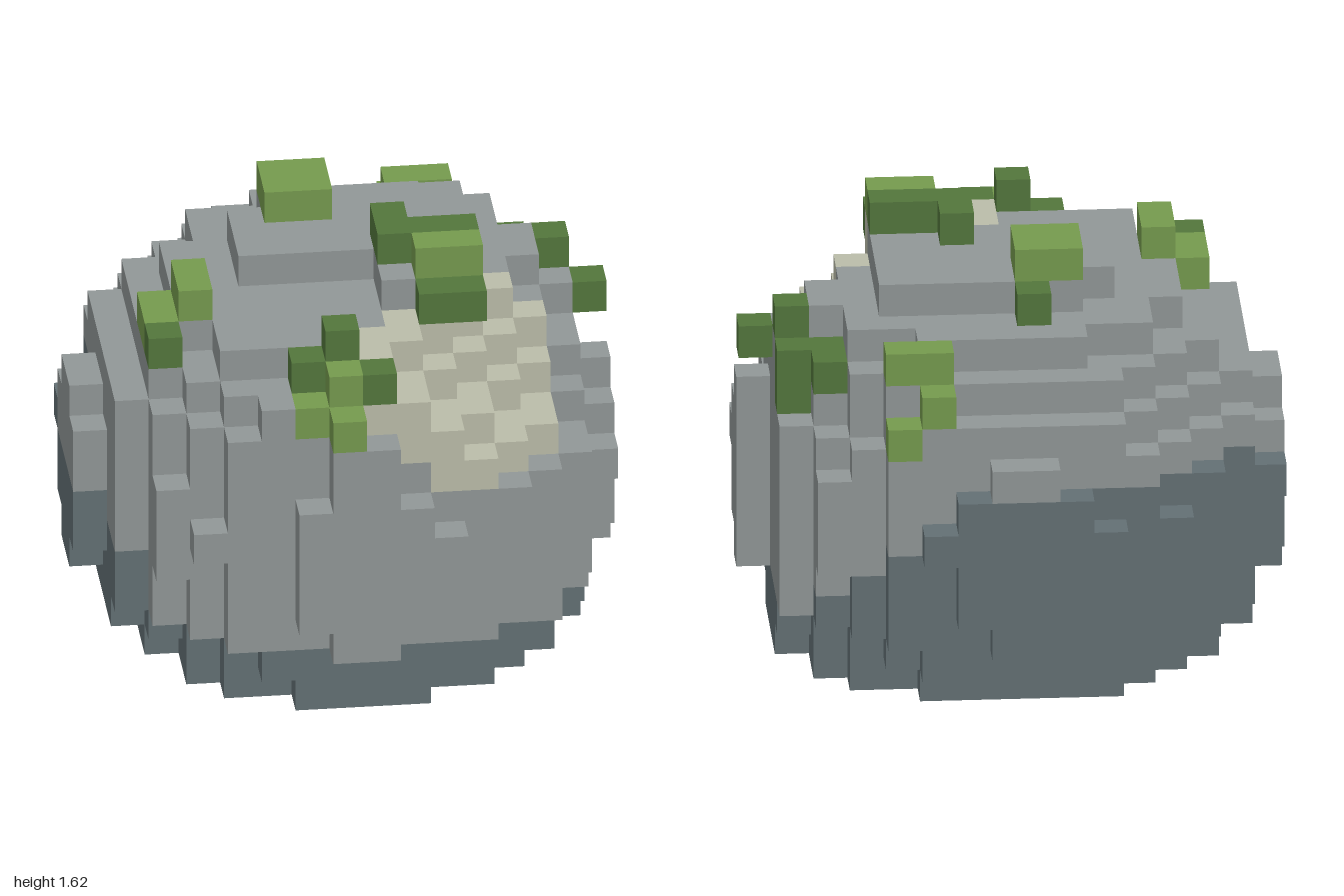
import * as THREE from 'three';
import { mergeGeometries } from 'three/addons/utils/BufferGeometryUtils.js';

const S = 0.125; // edge of one cube
const N = 16;    // cubes across

const colours = {
  rock: 0x919797,
  darkRock: 0x637074,
  paleRock: 0xbbbda9,
  lightMoss: 0x759a4e,
  darkMoss: 0x53763c,
};

// Widest outline: first and last cube column for each row, back to front
const outline = [
  [5, 11], [3, 12], [2, 14], [2, 14], [1, 15], [0, 15], [0, 15], [0, 15],
  [0, 16], [0, 16], [1, 16], [1, 15], [2, 15], [2, 14], [3, 13], [6, 11],
];

// Round layers from the ground up: centre x, centre z, radius
const layers = [
  [0.03, 0.03, 0.815], [0, 0, 0.875], [0, 0, 0.945], [0, 0, 0.965],
  [0, 0, 0.975], [0, 0, 0.99], [0, 0, 0.975], [0, 0, 0.945],
  [0, 0.04, 0.91], [0.06, 0.06, 0.86], [0.06, 0.06, 0.72],
];

// Raised slabs on the summit: x, z, width, depth in cubes
const summit = [[5, 6, 5, 3], [6, 5, 6, 1], [9, 6, 3, 5]];

// Moss clumps: x, y, z, width, height, depth in cubes
const moss = {
  lightMoss: [
    [6, 12, 5, 2, 1, 2], [10, 12, 10, 2, 1, 1],
    [10, 10, 2, 2, 1, 1], [10, 9, 1, 1, 1, 1], [11, 8, 1, 1, 1, 1],
    [3, 11, 9, 1, 1, 2], [2, 10, 9, 1, 1, 2],
    [7, 10, 14, 1, 1, 1], [6, 9, 14, 1, 1, 1], [7, 9, 15, 1, 1, 1],
  ],
  darkMoss: [
    [9, 12, 8, 1, 1, 2], [10, 12, 9, 2, 1, 1], [10, 11, 11, 2, 1, 1],
    [7, 11, 4, 1, 1, 1], [2, 10, 11, 1, 1, 1],
    [7, 11, 13, 1, 1, 1], [6, 10, 13, 1, 1, 1], [8, 10, 14, 1, 1, 1],
    [13, 9, 4, 1, 1, 2], [14, 8, 5, 1, 2, 1], [14, 10, 6, 1, 1, 1], [15, 9, 7, 1, 1, 1],
  ],
};

const key = (i, j, k) => `${i},${j},${k}`;

// The front-left shoulder is worn away into a flight of small steps
const wornAway = (x, y, z) =>
  y > 0.875 && 1.25 * x + z > 1.435 - 1.44 * (y - 0.9375);

// Below the shoulder the same corner bulges out a little
const bulge = (x, y, z) => (x > 0.5 && z > 0.5 && y > 0.25 && y < 0.875 ? 0.04 : 0);

// Stone colour by position: pale shoulder, dark base rising to the back and right
function stoneColour(x, y, z) {
  const edgeX = y < 1 ? 0.25 : y < 1.125 ? 0.125 : 0;
  const edgeZ = y < 1 ? 0.375 : y < 1.125 || y > 1.375 ? 0.25 : 0.125;
  const onShoulder = x > edgeX && x < 0.75 && z > edgeZ && z < 0.875;
  if (y > 0.875 && onShoulder && x + z > 0.6) return 'paleRock';
  const backRise = Math.min(0.875, 0.07 - 0.45 * x - z);
  const sideRise = -1.2 * x - 0.53;
  return y < Math.max(0.25, backRise, sideRise) ? 'darkRock' : 'rock';
}

function buildCubes() {
  const cubes = new Map();
  const centre = (i) => (i + 0.5) * S - 1;
  const addStone = (i, j, k) =>
    cubes.set(key(i, j, k), { i, j, k, c: stoneColour(centre(i), (j + 0.5) * S, centre(k)) });

  // Boulder body
  layers.forEach(([cx, cz, r], j) => {
    for (let k = 0; k < N; k++) {
      for (let i = outline[k][0]; i < outline[k][1]; i++) {
        const x = centre(i), y = (j + 0.5) * S, z = centre(k);
        const inside = Math.hypot(x - cx, z - cz) <= r + bulge(x, y, z);
        if (inside && !wornAway(x, y, z)) addStone(i, j, k);
      }
    }
  });
  // Summit
  for (const [x, z, w, d] of summit) {
    for (let i = x; i < x + w; i++) for (let k = z; k < z + d; k++) addStone(i, 11, k);
  }
  // Moss replaces the stone it grows on, with nothing of stone above it
  for (const [c, clumps] of Object.entries(moss)) {
    for (const [x, y, z, w, h, d] of clumps) {
      for (let i = x; i < x + w; i++) for (let k = z; k < z + d; k++) {
        for (let j = y; j < 13; j++) {
          const old = cubes.get(key(i, j, k));
          if (j < y + h) cubes.set(key(i, j, k), { i, j, k, c });
          else if (old && !old.c.endsWith('Moss')) cubes.delete(key(i, j, k));
        }
      }
    }
  }
  return cubes;
}

// One square for each side of a cube
function cubeSides() {
  const side = (dir, rx, ry) => {
    const g = new THREE.PlaneGeometry(S, S).translate(0, 0, S / 2).rotateX(rx).rotateY(ry);
    return { dir, g };
  };
  const q = Math.PI / 2;
  return [
    side([0, 0, 1], 0, 0), side([1, 0, 0], 0, q), side([0, 0, -1], 0, 2 * q),
    side([-1, 0, 0], 0, -q), side([0, 1, 0], -q, 0), side([0, -1, 0], q, 0),
  ];
}

export function createModel() {
  const group = new THREE.Group();
  group.name = 'mossyBoulder';
  const cubes = buildCubes();
  const sides = cubeSides();

  // Keep only the outer faces, gathered by colour
  const faces = {};
  for (const { i, j, k, c } of cubes.values()) {
    for (const { dir, g } of sides) {
      if (cubes.has(key(i + dir[0], j + dir[1], k + dir[2]))) continue;
      const face = g.clone().translate((i + 0.5) * S - 1, (j + 0.5) * S, (k + 0.5) * S - 1);
      (faces[c] ??= []).push(face);
    }
  }

  for (const [name, color] of Object.entries(colours)) {
    const material = new THREE.MeshStandardMaterial({ color });
    material.name = name;
    const mesh = new THREE.Mesh(mergeGeometries(faces[name]), material);
    mesh.name = name;
    group.add(mesh);
  }
  return group;
}
